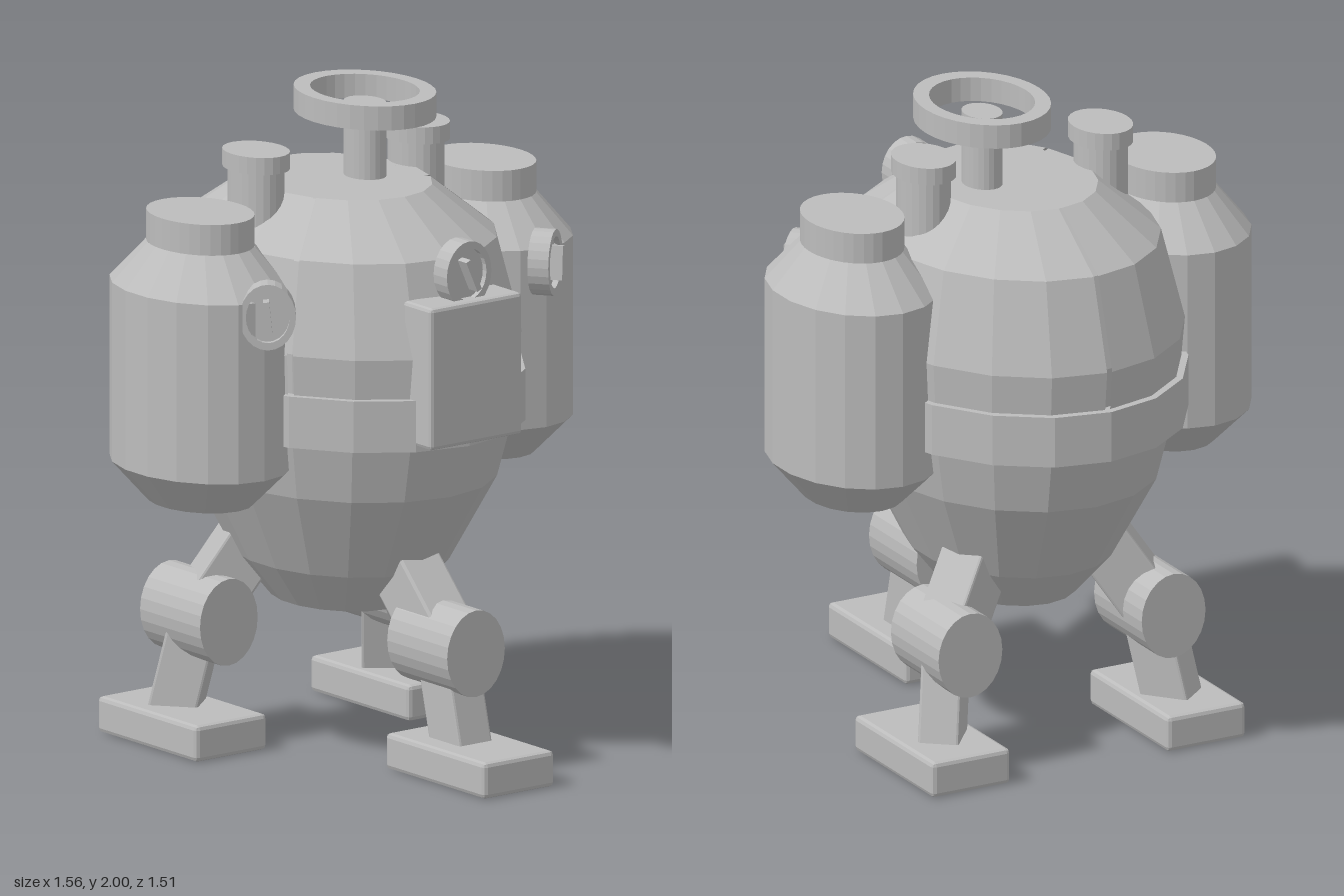
import * as THREE from 'three';
import { RoundedBoxGeometry } from 'three/addons/geometries/RoundedBoxGeometry.js';

const DEPTH = 1.27; // round parts are stretched front to back

export function createModel() {
  const model = new THREE.Group();
  const steel = new THREE.MeshStandardMaterial({ color: 0xbcbcbc, flatShading: true, side: THREE.DoubleSide });
  steel.name = 'steel grey';

  const add = (name, geometry, x = 0, y = 0, z = 0, parent = model) => {
    const mesh = new THREE.Mesh(geometry, steel);
    mesh.name = name;
    mesh.position.set(x, y, z);
    parent.add(mesh);
    return mesh;
  };

  // Turned part, stretched along z; profile is [radius, height] from bottom to top
  const turned = (profile, sides, stretch = DEPTH, start = 0, length = Math.PI * 2) =>
    new THREE.LatheGeometry(profile.map(([r, y]) => new THREE.Vector2(r, y)), sides, start, length)
      .scale(1, 1, stretch);

  const block = (w, h, d, r) => new RoundedBoxGeometry(w, h, d, 1, r);

  // Beam between two points
  const beam = (name, from, to, w, d) => {
    const a = new THREE.Vector3(...from), b = new THREE.Vector3(...to);
    const mesh = add(name, block(w, d, a.distanceTo(b), 0.008));
    mesh.position.copy(a).add(b).multiplyScalar(0.5);
    mesh.lookAt(b);
  };

  // Body: lower bowl, inner liner, belt and three shell panels with seams
  const bodyZ = -0.12, bodyStretch = 1.24;
  add('lowerBody', turned([[0, 0.445], [0.195, 0.445], [0.3, 0.58], [0.432, 0.85], [0.474, 1.03]], 18, bodyStretch), 0, 0, bodyZ);
  add('bodyLiner', turned([[0.47, 1.03], [0.48, 1.31], [0.412, 1.58], [0.245, 1.732], [0, 1.732]], 18, bodyStretch), 0, 0, bodyZ);
  add('belt', turned([[0.465, 1.028], [0.51, 1.028], [0.51, 1.187], [0.465, 1.187]], 18, bodyStretch), 0, 0, bodyZ);
  const gap = 0.035;
  for (let i = 0; i < 3; i++) {
    const start = Math.PI / 3 + i * Math.PI * 2 / 3 + gap / 2;
    add('shellPanel', turned([[0.49, 1.187], [0.5, 1.31], [0.432, 1.59], [0.254, 1.737], [0.22, 1.737]],
      6, bodyStretch, start, Math.PI * 2 / 3 - gap), 0, 0, bodyZ);
  }

  // Hand wheel and its post
  add('wheelPost', turned([[0.0585, 1.7], [0.0585, 1.96], [0, 1.96]], 24, 1.25), 0.0865, 0, -0.11);
  add('handWheel', turned([[0.15, 1.925], [0.195, 1.925], [0.195, 2], [0.15, 2], [0.15, 1.925]], 32, 1.25), 0.0865, 0, -0.11);

  // Round gauge facing +z with a raised rim and a slanted needle
  const gauge = (name, x, y, z, yaw, slant) => {
    const group = new THREE.Group();
    group.name = name;
    group.position.set(x, y, z);
    group.rotation.y = yaw;
    model.add(group);
    const dial = turned([[0, -0.035], [0.085, -0.035], [0.085, 0.03], [0.066, 0.03], [0.066, 0.012], [0, 0.012]], 24, 1.2);
    add('dial', dial.rotateX(Math.PI / 2), 0, 0, 0, group);
    add('needle', new THREE.BoxGeometry(0.018, 0.105, 0.045), 0, 0, 0.032, group).rotation.z = slant;
  };
  gauge('frontGauge', 0, 1.56, 0.48, 0, 0.42);

  // Front control box
  add('controlBox', block(0.35, 0.44, 0.14, 0.012), 0, 1.265, 0.478);

  // Tanks, chimneys and side gauges on both sides
  for (const s of [1, -1]) {
    add('sideTank', turned([[0, 0.82], [0.145, 0.82], [0.247, 0.94], [0.247, 1.495], [0.147, 1.62]], 18), s * 0.537, 0, -0.115);
    add('tankCap', turned([[0.147, 1.62], [0.147, 1.715], [0, 1.715]], 32), s * 0.537, 0, -0.115);
    add('chimney', turned([[0.077, 1.5], [0.077, 1.815]], 24), s * 0.305, 0, -0.14);
    add('chimneyCap', turned([[0, 1.812], [0.092, 1.812], [0.092, 1.865], [0, 1.865]], 24), s * 0.305, 0, -0.14);
    gauge('sideGauge', s * 0.53, 1.455, 0.205, s * 0.65, s < 0 ? 0.1 : -0.1);
  }

  // Three legs: hip point, knee, ankle and foot centre
  const legs = [
    { hip: [0, 0.67, 0.12], knee: [0, 0.39, 0.397], ankle: [0, 0.08, 0.475], foot: [0, 0.514] },
    ...[1, -1].map(s => ({
      hip: [s * 0.2, 0.63, -0.29], knee: [s * 0.35, 0.39, -0.362],
      ankle: [s * 0.398, 0.08, -0.42], foot: [s * 0.405, -0.373],
    })),
  ];
  for (const { hip, knee, ankle, foot } of legs) {
    beam('thigh', hip, knee, 0.15, 0.17);
    beam('shin', knee, ankle, 0.125, 0.15);
    add('kneeJoint', new THREE.CylinderGeometry(0.11, 0.11, 0.293, 24).rotateX(Math.PI / 2).scale(1, 1.22, 1), ...knee);
    add('foot', block(0.27, 0.112, 0.485, 0.014), foot[0], 0.056, foot[1]);
  }
  return model;
}
